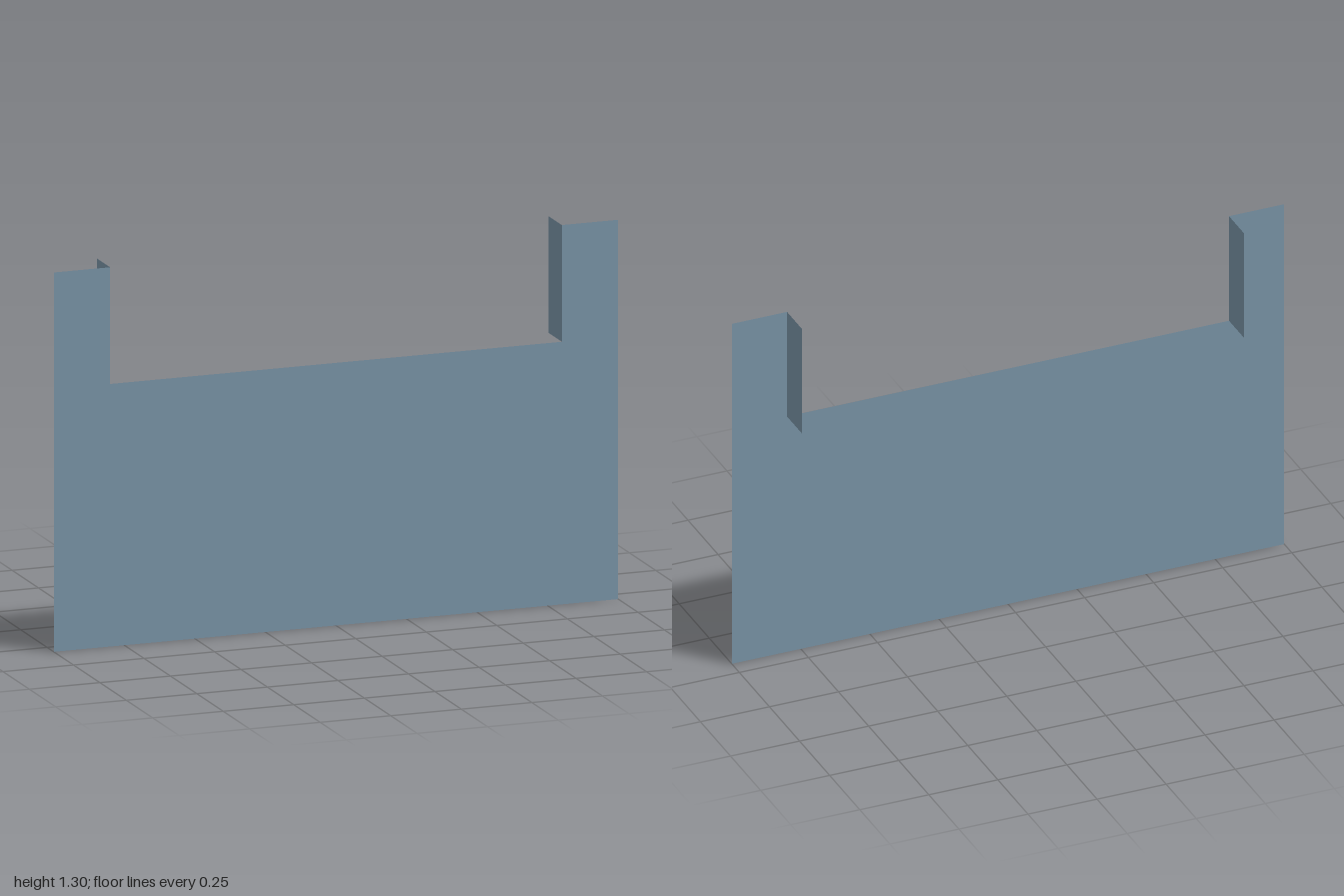
import * as THREE from 'three';

const TOP = 1.3, SILL = 0.9, INNER = 0.8, HALF_DEPTH = 0.063;

export function createModel() {
  const group = new THREE.Group();
  const material = new THREE.MeshStandardMaterial({
    color: 0x7d99ac, flatShading: true, side: THREE.DoubleSide,
  });
  const add = (name, geometry, x, y, z) => {
    const mesh = new THREE.Mesh(geometry, material);
    mesh.name = name;
    mesh.position.set(x, y, z);
    group.add(mesh);
    return mesh;
  };

  // Thin front sheet with a wide notch cut from its top edge
  const outline = new THREE.Shape([
    [-1, 0], [1, 0], [1, TOP], [INNER, TOP],
    [INNER, SILL], [-INNER, SILL], [-INNER, TOP], [-1, TOP],
  ].map(([x, y]) => new THREE.Vector2(x, y)));
  add('frontPanel', new THREE.ShapeGeometry(outline), 0, 0, HALF_DEPTH);

  // Flaps folded straight back from the sides of the notch
  for (const [name, side] of [['leftFlap', 1], ['rightFlap', -1]]) {
    const flap = new THREE.PlaneGeometry(2 * HALF_DEPTH, TOP - SILL);
    add(name, flap, side * INNER, (TOP + SILL) / 2, 0).rotation.y = -side * Math.PI / 2;
  }
  return group;
}
